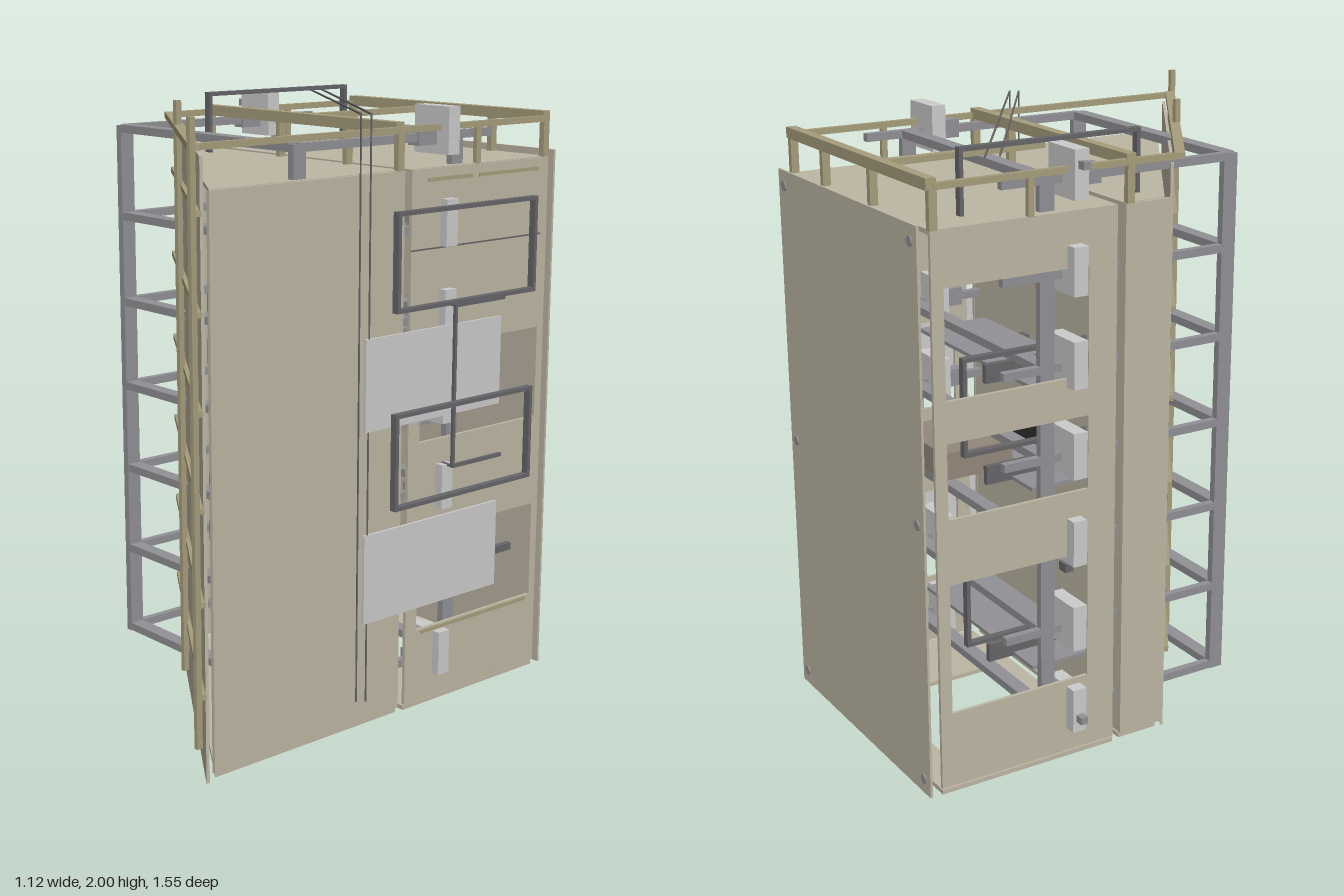
import * as THREE from 'three';

const mat = (color, side = THREE.FrontSide) => new THREE.MeshStandardMaterial({ color, side, flatShading: true });
const WALL = mat(0xbdb6a4, THREE.DoubleSide);
const RAIL = mat(0xa79e7c);
const STEEL = mat(0x919196);
const DARK = mat(0x66666a);
const LIGHT = mat(0xcccccc);
const BLACK = mat(0x222222);
const BROWN = mat(0x93887c);

export function createModel() {
  const model = new THREE.Group();

  const add = (name, geo, m, parent = model) => {
    const mesh = new THREE.Mesh(geo, m);
    mesh.name = name;
    parent.add(mesh);
    return mesh;
  };
  // box from its low and high limits on each axis
  const box = (name, x0, x1, y0, y1, z0, z1, m, parent) => {
    const b = add(name, new THREE.BoxGeometry(x1 - x0, y1 - y0, z1 - z0), m, parent);
    b.position.set((x0 + x1) / 2, (y0 + y1) / 2, (z0 + z1) / 2);
    return b;
  };
  // square bar between two points
  const bar = (name, a, b, w, h, m, parent) => {
    const p = new THREE.Vector3(...a), q = new THREE.Vector3(...b);
    const mesh = add(name, new THREE.BoxGeometry(w, h, p.distanceTo(q)), m, parent);
    mesh.position.copy(p).lerp(q, 0.5);
    mesh.lookAt(q);
    return mesh;
  };
  const group = (name) => {
    const g = new THREE.Group();
    g.name = name;
    model.add(g);
    return g;
  };
  const rectPath = (P, a0, a1, b0, b1) => {
    const p = new P();
    p.moveTo(a0, b0); p.lineTo(a1, b0); p.lineTo(a1, b1); p.lineTo(a0, b1); p.closePath();
    return p;
  };
  // side wall in the z-y plane with rectangular openings [z0, z1, y0, y1]
  const sideWall = (name, x, z0, z1, y0, y1, holes, m = WALL, t = 0.012) => {
    const s = rectPath(THREE.Shape, -z1, -z0, y0, y1);
    holes.forEach((h) => s.holes.push(rectPath(THREE.Path, -h[1], -h[0], h[2], h[3])));
    const mesh = add(name, new THREE.ExtrudeGeometry(s, { depth: t, bevelEnabled: false }), m);
    mesh.rotation.y = Math.PI / 2;
    mesh.position.x = x;
    return mesh;
  };
  // flat plate from plan points [x, z]
  const plate = (name, pts, y, t, holes = []) => {
    const s = new THREE.Shape(pts.map(([x, z]) => new THREE.Vector2(x, -z)));
    holes.forEach((h) => s.holes.push(rectPath(THREE.Path, h[0], h[1], -h[3], -h[2])));
    const mesh = add(name, new THREE.ExtrudeGeometry(s, { depth: t, bevelEnabled: false }), WALL);
    mesh.rotation.x = -Math.PI / 2;
    mesh.position.y = y;
    return mesh;
  };

  // side walls: rear half with service openings, front half solid
  sideWall('rearWallRight', 0.445, -0.73, -0.1, 0.02, 1.79,
    [[-0.7, -0.15, 0.27, 0.6], [-0.7, -0.15, 0.91, 1.22]]);
  sideWall('rearWallLeft', -0.49, -0.73, -0.1, 0.02, 1.79,
    [[-0.69, -0.2, 0.27, 0.7], [-0.69, -0.2, 0.91, 1.15], [-0.69, -0.2, 1.28, 1.62]]);
  sideWall('frontWallRight', 0.445, -0.07, 0.7, 0.02, 1.79, []);
  sideWall('frontWallLeft', -0.49, -0.07, 0.09, 0.02, 1.79, []);
  box('dividingWall', -0.478, 0.445, 0.02, 1.78, -0.068, -0.06, WALL);

  // slanted front panel with its horizontal battens and upright poles
  const diagZ = (x) => 0.448 + 0.668 * x;
  bar('slantedPanel', [-0.485, 0.945, diagZ(-0.485) - 0.026], [0.465, 0.945, diagZ(0.465) - 0.026], 0.01, 1.89, WALL);
  const battens = group('frontBattens');
  for (let i = 0; i < 6; i++) {
    const y = 0.28 + i * 0.29;
    bar('batten', [-0.49, y, diagZ(-0.49) - 0.014], [0.46, y, diagZ(0.46) - 0.014], 0.018, 0.018, RAIL, battens);
  }
  box('poleMiddle', -0.073, -0.057, 0.12, 2, 0.4, 0.42, RAIL);
  box('poleCorner', 0.448, 0.463, 0.12, 2, 0.75, 0.77, RAIL);

  // roof and floor plates
  const wedge = [[-0.48, -0.07], [0.445, -0.07], [0.445, 0.69], [-0.48, 0.075]];
  const rear = [[-0.49, -0.73], [0.45, -0.73], [0.45, -0.1], [-0.49, -0.1]];
  plate('frontRoof', wedge, 1.78, 0.012);
  plate('rearRoof', rear, 1.78, 0.012);
  plate('frontFloor', wedge, 0, 0.015);
  plate('rearFloor', rear, 0, 0.015, [[-0.38, 0.16, -0.62, -0.2]]);

  // detached back panel with round fasteners
  box('backPanel', -0.49, 0.45, 0, 1.81, -0.773, -0.765, WALL);
  const screws = group('backFasteners');
  for (const x of [-0.45, 0.41]) for (const y of [0.05, 0.9, 1.76]) {
    const s = add('fastener', new THREE.CylinderGeometry(0.016, 0.016, 0.006, 16), STEEL, screws);
    s.rotation.x = Math.PI / 2;
    s.position.set(x, y, -0.774);
  }

  // roof railing on short posts
  const railing = group('roofRailing');
  const ry0 = 1.905, ry1 = 1.925;
  box('railBack', -0.49, 0.45, ry0, 1.94, -0.74, -0.707, RAIL, railing);
  box('railMiddle', -0.49, 0.45, ry0, 1.94, -0.07, -0.036, RAIL, railing);
  box('railLeft', -0.493, -0.475, ry0, ry1, -0.72, 0.1, RAIL, railing);
  box('railRight', 0.437, 0.454, ry0, ry1, -0.72, 0.73, RAIL, railing);
  box('railCross', -0.13, -0.102, ry0, ry1, -0.7, -0.13, RAIL, railing);
  bar('railSlanted', [-0.495, 1.915, diagZ(-0.495)], [0.46, 1.915, diagZ(0.46)], 0.032, 0.02, RAIL, railing);
  for (const x of [-0.484, -0.116, 0.21, 0.445]) for (const z of [-0.72, -0.055])
    box('railPost', x - 0.01, x + 0.01, 1.79, 1.91, z - 0.013, z + 0.013, RAIL, railing);
  for (const x of [-0.484, 0.445]) box('railPost', x - 0.008, x + 0.008, 1.79, 1.91, -0.41, -0.39, RAIL, railing);

  // steel rack: four posts, seven levels of rungs
  const rack = group('steelRack');
  for (const x of [-0.448, 0.416]) for (const z of [-0.328, 0.336])
    box('rackPost', x - 0.012, x + 0.012, 0.14, 1.895, z - 0.025, z + 0.025, STEEL, rack);
  for (let i = 0; i < 7; i++) {
    const y = 0.155 + i * 0.2883;
    for (const z of [-0.328, 0.336]) box('rung', -0.44, 0.41, y - 0.013, y + 0.013, z - 0.024, z + 0.024, STEEL, rack);
    for (const x of [-0.448, 0.416]) box('sideRung', x - 0.012, x + 0.012, y - 0.013, y + 0.013, -0.48, 0.336, STEEL, rack);
  }

  // column of lock blocks on both sides, each with an inner mount
  const locks = group('lockBlocks');
  for (let i = 0; i < 7; i++) {
    const y = 0.1 + i * 0.2883;
    for (const [a, b, c] of [[-0.53, -0.385, -0.452], [0.335, 0.486, 0.41]]) {
      box('lockBlock', a, b, y, y + 0.15, -0.277, -0.228, LIGHT, locks);
      box('lockMount', c - 0.024, c + 0.024, y + 0.03, y + 0.09, -0.23, -0.15, STEEL, locks);
    }
  }
  for (const y of [0.15, 1.935]) box('lockPin', -0.56, -0.53, y - 0.012, y + 0.012, -0.265, -0.24, STEEL, locks);

  // sliding door panels on the right side
  for (const y of [0.365, 0.995]) box('slidingDoor', 0.482, 0.491, y, y + 0.295, -0.485, 0.12, LIGHT);

  // open rectangular frames beside both walls
  const openFrame = (x, y) => {
    const s = rectPath(THREE.Shape, -0.05, 0.575, y, y + 0.312);
    s.holes.push(rectPath(THREE.Path, -0.037, 0.562, y + 0.013, y + 0.299));
    const f = add('windowFrame', new THREE.ExtrudeGeometry(s, { depth: 0.024, bevelEnabled: false }), DARK);
    f.rotation.y = Math.PI / 2;
    f.position.x = x;
  };
  [0.74, 1.37].forEach((y) => openFrame(0.532, y));
  [0.42, 1.05, 1.68].forEach((y) => openFrame(-0.385, y));

  // bracket handle
  const handle = group('bracketHandle');
  box('handleUpright', 0.5, 0.511, 0.82, 1.36, -0.26, -0.25, DARK, handle);
  for (const y of [0.825, 1.355]) {
    box('handleArm', 0.5, 0.512, y - 0.006, y + 0.006, -0.48, -0.25, DARK, handle);
    box('handleStub', 0.455, 0.505, y - 0.004, y + 0.004, -0.26, -0.25, DARK, handle);
  }
  box('stopBar', 0.46, 0.48, 0.465, 0.49, -0.575, -0.48, DARK);

  // guide strips on the right wall
  for (const [y, z0, z1] of [[0.26, -0.68, -0.17], [1.755, -0.37, -0.17], [1.755, -0.68, -0.4]])
    box('guideStrip', 0.452, 0.461, y - 0.006, y + 0.006, z0, z1, RAIL);
  box('wallSeam', 0.456, 0.459, 1.535, 1.54, -0.7, -0.1, DARK);

  // thin cables crossing the roof and dropping down the right side
  const cables = group('cables');
  for (const [z0, z1, x1] of [[-0.54, 0.105, 0.488], [-0.49, 0.13, 0.47]]) {
    bar('cable', [-0.47, 1.975, z0], [x1, 1.975, z1], 0.005, 0.005, DARK, cables);
    bar('cableDrop', [x1, 0.1, z1], [x1, 1.975, z1 + 0.0001], 0.004, 0.004, DARK, cables);
  }

  // equipment inside the rear compartment
  const inside = group('equipment');
  for (const y of [0.3, 0.91, 1.24]) {
    box('tray', -0.42, 0.3, y, y + 0.012, -0.36, -0.11, STEEL, inside);
    box('trayBracket', -0.3, -0.28, y, y + 0.06, -0.45, -0.12, DARK, inside);
  }
  box('controlUnit', -0.1, 0.06, 0.925, 1.0, -0.3, -0.1, BLACK, inside);
  box('storageUnit', -0.2, 0.1, 0.91, 1.0, -0.55, -0.3, BROWN, inside);
  for (let i = 0; i < 5; i++)
    box('gapConnector', -0.34 + i * 0.14, -0.3 + i * 0.14, 0.13 + i * 0.36, 0.16 + i * 0.36, -0.1, -0.068, DARK, inside);

  return model;
}
